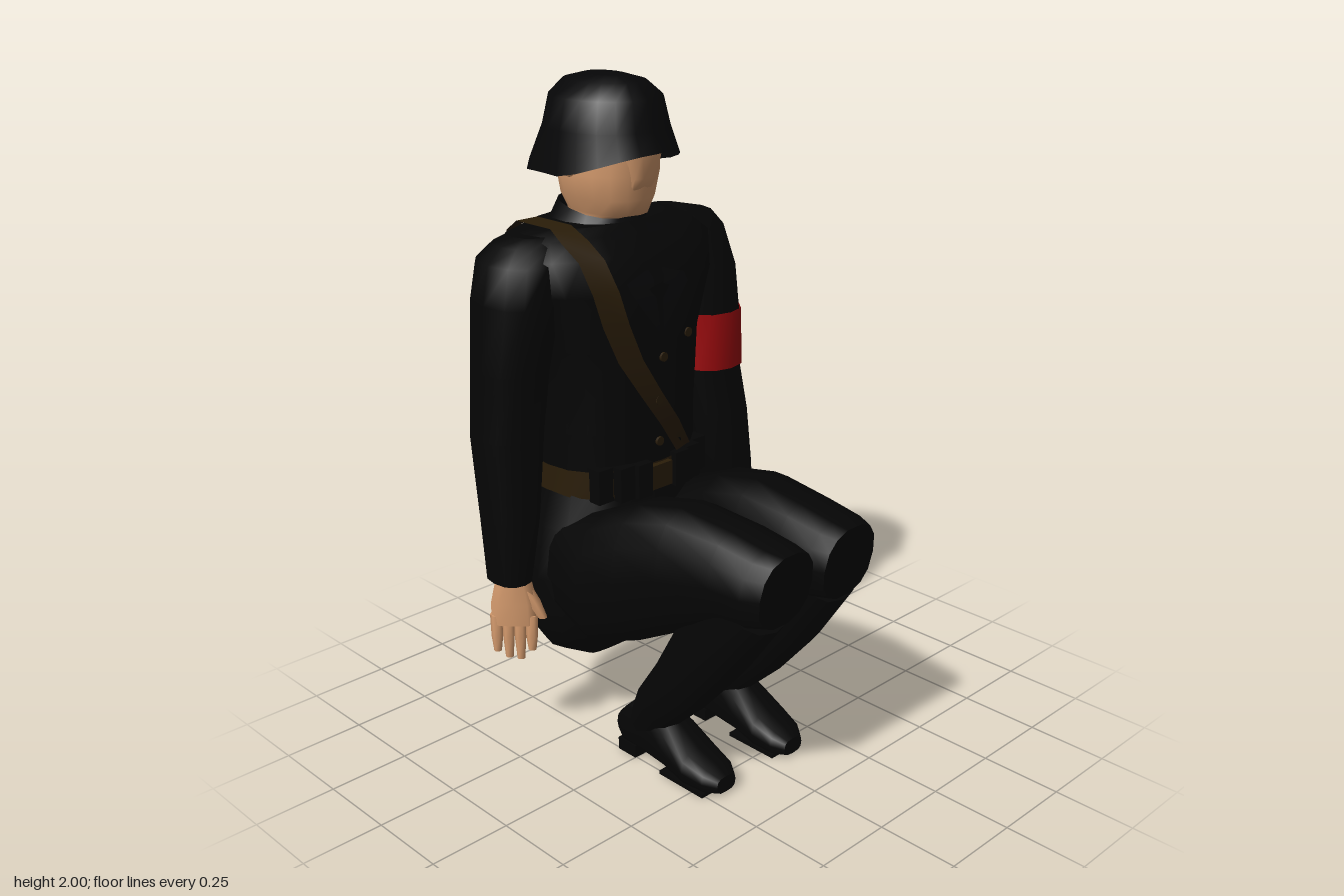
import * as THREE from 'three';

const mat = (name, color, side = THREE.FrontSide) => {
  const m = new THREE.MeshStandardMaterial({ color, side });
  m.name = name;
  return m;
};

// Lofts rings [x, y, z, rx, rv, tilt]; tilt turns the ring about x (0 = flat, PI/2 = facing +z)
function loft(rings, { n = 14, p = 2.4, caps = true } = {}) {
  const pos = [], idx = [];
  const pow = (v) => Math.sign(v) * Math.abs(v) ** (2 / p);
  const addRing = ([x, y, z, rx, rv, t = 0]) => {
    const start = pos.length / 3;
    for (let i = 0; i < n; i++) {
      const a = (i / n) * Math.PI * 2, v = pow(Math.sin(a)) * rv;
      pos.push(x + pow(Math.cos(a)) * rx, y - Math.sin(t) * v, z + Math.cos(t) * v);
    }
    return start;
  };
  const starts = rings.map(addRing);
  for (let k = 0; k + 1 < starts.length; k++) {
    for (let i = 0; i < n; i++) {
      const a = starts[k] + i, b = starts[k] + (i + 1) % n;
      const c = starts[k + 1] + i, d = starts[k + 1] + (i + 1) % n;
      idx.push(a, c, b, b, c, d);
    }
  }
  if (caps) {
    [rings[0], rings[rings.length - 1]].forEach((r, end) => {
      const s = addRing(r), centre = pos.length / 3;
      pos.push(r[0], r[1], r[2]);
      for (let i = 0; i < n; i++) {
        const a = s + i, b = s + (i + 1) % n;
        if (end) idx.push(centre, b, a); else idx.push(centre, a, b);
      }
    });
  }
  const g = new THREE.BufferGeometry();
  g.setAttribute('position', new THREE.Float32BufferAttribute(pos, 3));
  g.setIndex(idx);
  g.computeVertexNormals();
  return g;
}

const TORSO = [
  [0, 0.80, -0.300, 0.250, 0.200], [0, 1.00, -0.308, 0.255, 0.208],
  [0, 1.25, -0.315, 0.270, 0.225], [0, 1.42, -0.315, 0.335, 0.225],
  [0, 1.52, -0.325, 0.360, 0.195], [0, 1.565, -0.345, 0.320, 0.155],
  [0, 1.59, -0.345, 0.220, 0.130],
];

// z of the torso surface at x, y; side 1 = front, -1 = back
function torsoZ(x, y, side, lift) {
  let k = 0;
  while (k < TORSO.length - 2 && TORSO[k + 1][1] < y) k++;
  const f = (y - TORSO[k][1]) / (TORSO[k + 1][1] - TORSO[k][1]);
  const [, , c, rx, rz] = TORSO[k].map((v, i) => v + (TORSO[k + 1][i] - v) * f);
  return c + side * (rz * Math.max(0, 1 - Math.abs(x / rx) ** 2.4) ** (1 / 2.4) + lift);
}

// Open ribbon between two edge lists
function ribbon(left, right) {
  const g = new THREE.BufferGeometry(), idx = [];
  for (let i = 0; i + 1 < left.length; i++) {
    const a = i * 2;
    idx.push(a, a + 1, a + 2, a + 1, a + 3, a + 2);
  }
  const pts = left.flatMap((p, i) => [...p, ...right[i]]);
  g.setAttribute('position', new THREE.Float32BufferAttribute(pts, 3));
  g.setIndex(idx);
  g.computeVertexNormals();
  return g;
}

export function createModel() {
  const black = mat('black cloth', 0x050505);
  const blackOpen = mat('black shell', 0x060607, THREE.DoubleSide);
  const brown = mat('brown leather', 0x2a1d09, THREE.DoubleSide);
  const red = mat('red cloth', 0x9a0a0d, THREE.DoubleSide);
  const skin = mat('skin', 0xd99e70);

  const model = new THREE.Group();
  model.name = 'crouchingFigure';
  const body = new THREE.Group();
  body.name = 'body';
  body.position.x = -0.05;
  model.add(body);
  const add = (name, geo, material, parent = body) => {
    const m = new THREE.Mesh(geo, material);
    m.name = name;
    parent.add(m);
    return m;
  };
  const box = (name, w, h, d, x, y, z, material) =>
    add(name, new THREE.BoxGeometry(w, h, d), material).position.set(x, y, z);

  // Coat
  add('torso', loft(TORSO, { n: 20 }), black);
  add('coatSkirt', loft([
    [0, 0.21, -0.300, 0.12, 0.02], [0, 0.29, -0.310, 0.26, 0.11], [0, 0.38, -0.310, 0.31, 0.21],
    [0, 0.55, -0.285, 0.33, 0.235], [0, 0.70, -0.298, 0.29, 0.217], [0, 0.84, -0.300, 0.25, 0.2],
  ], { n: 18 }), black);
  add('collar', loft([[0, 1.56, -0.34, 0.155, 0.145, 0.1], [0, 1.625, -0.34, 0.115, 0.12, 0.2]],
    { caps: false }), blackOpen);
  for (const s of [1, -1]) {
    const edge = (pts) => pts.map(([x, y]) => [x * s, y, torsoZ(x, y, 1, 0.006)]);
    add('lapel', ribbon(edge([[0.05, 1.58], [0.02, 1.45], [0.005, 1.3]]),
      edge([[0.11, 1.57], [0.11, 1.42], [0.01, 1.29]])), blackOpen);
  }

  // Buttons, front and coat tail
  for (const [x, y] of [[0.01, 1.21], [0.12, 1.26], [-0.005, 1.08], [0, 0.95]]) {
    const b = add('button', new THREE.CylinderGeometry(0.014, 0.014, 0.009, 10), brown);
    b.rotation.x = Math.PI / 2;
    b.position.set(x, y, torsoZ(x, y, 1, 0.003));
  }
  for (const x of [-0.05, 0.05]) {
    const b = add('tailButton', new THREE.CylinderGeometry(0.012, 0.012, 0.009, 10), brown);
    b.rotation.x = Math.PI / 2;
    b.position.set(x, 0.71, -0.514);
  }

  // Belt, buckle and pouches
  add('belt', loft([[0, 0.805, -0.3, 0.259, 0.207], [0, 0.89, -0.303, 0.259, 0.209]],
    { n: 20, caps: false }), brown);
  box('buckle', 0.095, 0.075, 0.02, -0.015, 0.848, -0.088, brown);
  for (const s of [1, -1]) {
    for (let i = 0; i < 3; i++) {
      const x = s * (0.075 + i * 0.057);
      box('pouch', 0.055, 0.105, 0.05, x, 0.85, torsoZ(x, 0.85, 1, 0.002), black);
    }
  }

  // Shoulder strap: up the chest, over the right shoulder, down the back
  const route = [
    [0.12, 0.88, 1], [0.04, 1.0, 1], [-0.04, 1.11, 1], [-0.11, 1.22, 1], [-0.155, 1.33, 1],
    [-0.185, 1.43, 1], [-0.205, 1.52, 1], [-0.21, 1.565, 1], [-0.21, 1.598, 0, -0.27],
    [-0.21, 1.598, 0, -0.42], [-0.21, 1.565, -1], [-0.19, 1.5, -1], [-0.14, 1.38, -1],
    [-0.06, 1.22, -1], [0.02, 1.08, -1], [0.09, 0.96, -1], [0.14, 0.87, -1],
  ];
  const strapEdge = (d) => route.map(([x, y, s, z]) => [x + d, y, s ? torsoZ(x + d, y, s, 0.009) : z]);
  add('shoulderStrap', ribbon(strapEdge(-0.038), strapEdge(0.038)), brown);

  // Sleeves
  const leftArm = [
    [0.425, 0.565, -0.22, 0.067, 0.08], [0.395, 0.75, -0.23, 0.092, 0.095],
    [0.38, 0.93, -0.255, 0.1, 0.11], [0.36, 1.08, -0.28, 0.1, 0.122],
    [0.355, 1.26, -0.285, 0.103, 0.125], [0.34, 1.4, -0.305, 0.118, 0.135],
    [0.32, 1.51, -0.325, 0.12, 0.12], [0.29, 1.555, -0.34, 0.125, 0.095],
    [0.25, 1.575, -0.345, 0.08, 0.07],
  ];
  const rightArm = [
    [-0.395, 0.555, -0.335, 0.057, 0.075], [-0.378, 0.75, -0.34, 0.08, 0.092],
    [-0.36, 1.0, -0.36, 0.1, 0.108], [-0.345, 1.2, -0.352, 0.103, 0.12],
    [-0.33, 1.4, -0.335, 0.112, 0.138], [-0.31, 1.51, -0.338, 0.108, 0.13],
    [-0.27, 1.555, -0.34, 0.1, 0.1], [-0.24, 1.575, -0.345, 0.08, 0.07],
  ];
  add('leftSleeve', loft(leftArm, { n: 12 }), black);
  add('rightSleeve', loft(rightArm, { n: 12 }), black);
  const band = leftArm.slice(3, 5).map(([x, y, z, rx, rz]) => [x, y, z, rx + 0.006, rz + 0.006]);
  add('armband', loft(band, { n: 12, caps: false }), red);

  // Hands, each turned about the wrist; the thumb lies on the side given by t
  const hand = (name, x, z, turn, lean, t, reach) => {
    const g = new THREE.Group();
    g.name = name;
    g.position.set(x, 0, z);
    g.rotation.y = turn;
    body.add(g);
    add('palm', loft([
      [lean * 0.6, 0.41, 0, 0.026, 0.07], [lean * 0.3, 0.48, 0, 0.034, 0.07],
      [0, 0.585, 0, 0.04, 0.046],
    ], { n: 10 }), skin, g);
    [0.32, 0.3, 0.295, 0.325].forEach((tip, i) => {
      const fz = -t * (0.053 - i * 0.035);
      add('finger', loft([
        [lean * 1.1, tip, fz, 0.012, 0.012], [lean * 0.9, 0.37, fz, 0.018, 0.018],
        [lean * 0.5, 0.44, fz, 0.022, 0.02],
      ], { n: 7 }), skin, g);
    });
    add('thumb', loft([
      [lean * 0.5, 0.43, t * reach, 0.014, 0.014], [lean * 0.4, 0.48, t * reach * 0.7, 0.022, 0.022],
      [0, 0.55, t * 0.015, 0.028, 0.028],
    ], { n: 7 }), skin, g);
  };
  hand('leftHand', 0.44, -0.215, -0.8, 0.045, -1, 0.125);
  hand('rightHand', -0.39, -0.325, 0.75, -0.01, 1, 0.085);

  // Folded legs and boots
  const Q = Math.PI / 2;
  for (const s of [1, -1]) {
    const side = s > 0 ? 'left' : 'right';
    const at = (rings) => rings.map(([x, ...r]) => [x * s, ...r]);
    add(side + 'Thigh', loft(at([
      [0.17, 0.57, -0.25, 0.15, 0.17, Q], [0.172, 0.575, -0.1, 0.172, 0.215, Q],
      [0.16, 0.63, 0.03, 0.157, 0.22, Q], [0.15, 0.69, 0.19, 0.147, 0.195, Q],
      [0.138, 0.725, 0.37, 0.134, 0.14, Q], [0.135, 0.725, 0.48, 0.128, 0.122, Q + 0.1],
      [0.13, 0.725, 0.53, 0.105, 0.115, Q + 0.15],
    ]), { n: 14 }), black);
    add(side + 'Shin', loft(at([
      [0.15, 0.09, 0.005, 0.06, 0.065, 0.2], [0.155, 0.2, 0.07, 0.078, 0.08, 0.6],
      [0.16, 0.32, 0.175, 0.09, 0.096, 0.6], [0.155, 0.47, 0.28, 0.1, 0.115, 0.6],
      [0.14, 0.66, 0.415, 0.1, 0.112, 0.6],
    ]), { n: 12 }), black);
    add(side + 'Boot', loft(at([
      [0.15, 0.085, -0.09, 0.045, 0.035, Q], [0.15, 0.09, -0.055, 0.06, 0.068, Q],
      [0.15, 0.11, 0.03, 0.064, 0.09, Q], [0.15, 0.09, 0.13, 0.07, 0.075, Q],
      [0.15, 0.055, 0.22, 0.075, 0.053, Q], [0.147, 0.042, 0.29, 0.064, 0.04, Q],
      [0.145, 0.035, 0.328, 0.038, 0.026, Q],
    ]), { n: 12, p: 3 }), black);
    box(side + 'Heel', 0.11, 0.04, 0.075, s * 0.15, 0.02, -0.037, black);
    box(side + 'Sole', 0.125, 0.012, 0.18, s * 0.15, 0.006, 0.205, black);
  }

  // Head
  add('head', loft([
    [0, 1.54, -0.35, 0.088, 0.09], [0, 1.6, -0.335, 0.09, 0.105], [0, 1.615, -0.31, 0.088, 0.14],
    [0, 1.66, -0.308, 0.116, 0.15], [0, 1.73, -0.305, 0.13, 0.16], [0, 1.84, -0.305, 0.132, 0.165],
  ], { n: 16, p: 2.2 }), skin);
  add('noseAndBrow', loft([[0, 1.69, -0.165, 0.04, 0.008], [0, 1.725, -0.165, 0.05, 0.034],
    [0, 1.8, -0.165, 0.07, 0.04]], { n: 10 }), skin);
  for (const s of [1, -1]) {
    const ear = add('ear', new THREE.SphereGeometry(0.035, 8, 6), skin);
    ear.scale.set(0.5, 1, 0.7);
    ear.position.set(s * 0.132, 1.755, -0.32);
  }

  // Helmet, its rim rising to the brow and to the broad flared back
  const dome = loft([
    [0, 1.74, -0.305, 0.19, 0.22], [0, 1.855, -0.308, 0.172, 0.194], [0, 1.94, -0.308, 0.15, 0.176],
    [0, 1.983, -0.31, 0.1, 0.135], [0, 1.999, -0.31, 0.045, 0.07], [0, 2.0, -0.31, 0.001, 0.001],
  ], { n: 20, p: 2.1, caps: false });
  const dp = dome.attributes.position;
  for (let i = 0; i < dp.count; i++) {
    if (dp.getY(i) > 1.8) continue;
    const z = dp.getZ(i);
    const brow = Math.max(0, z + 0.3) / 0.215, back = Math.max(0, -0.42 - z) / 0.105;
    dp.setY(i, 1.732 + 0.068 * brow ** 1.3 + 0.053 * back ** 1.5);
    if (z < -0.4) dp.setX(i, dp.getX(i) * 1.22);
  }
  dome.computeVertexNormals();
  add('helmet', dome, blackOpen);
  return model;
}
